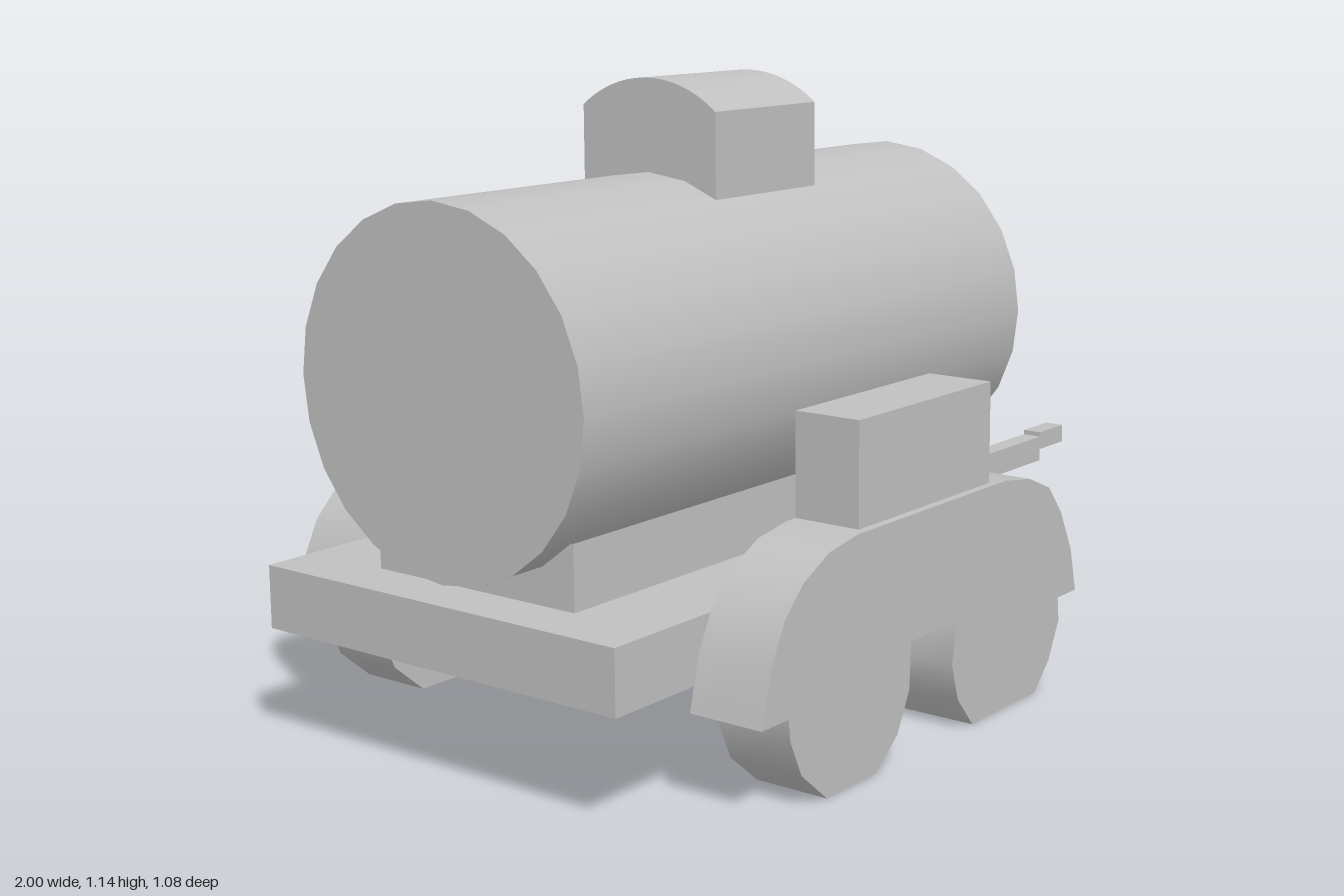
import * as THREE from 'three';
import { toCreasedNormals } from 'three/addons/utils/BufferGeometryUtils.js';

export function createModel() {
  const model = new THREE.Group();
  model.name = 'tankTrailer';
  const grey = new THREE.MeshStandardMaterial({ color: 0xc0c0c0, side: THREE.DoubleSide });
  grey.name = 'plain grey';

  const add = (name, geometry) => {
    const mesh = new THREE.Mesh(geometry, grey);
    mesh.name = name;
    model.add(mesh);
    return mesh;
  };
  // Box from its minimum and maximum corners
  const box = (name, x0, x1, y0, y1, z0, z1) => {
    const g = new THREE.BoxGeometry(x1 - x0, y1 - y0, z1 - z0);
    return add(name, g.translate((x0 + x1) / 2, (y0 + y1) / 2, (z0 + z1) / 2));
  };
  // Four upright walls with neither lid nor floor
  const walls = (name, ...extent) => {
    const g = box(name, ...extent).geometry;
    const index = Array.from(g.index.array);
    g.setIndex([...index.slice(0, 12), ...index.slice(24)]);
    g.clearGroups();
  };
  const toShape = (points) => new THREE.Shape(points.map(([x, y]) => new THREE.Vector2(x, y)));

  // Pressed chassis, open underneath, with a raised cradle for the tank
  walls('chassisWalls', -1, 0.25, 0.207, 0.32, -0.393, 0.393);
  walls('tankCradle', -0.9, 0.25, 0.32, 0.435, -0.222, 0.222);
  const deck = toShape([
    [-1, -0.393], [0.25, -0.393], [0.25, -0.222], [-0.9, -0.222],
    [-0.9, 0.222], [0.25, 0.222], [0.25, 0.393], [-1, 0.393],
  ]);
  add('chassisDeck', new THREE.ShapeGeometry(deck).rotateX(-Math.PI / 2).translate(0, 0.32, 0));

  // Tank
  const tank = new THREE.CylinderGeometry(0.316, 0.316, 1.28, 24);
  add('tank', tank.rotateZ(Math.PI / 2).translate(-0.33, 0.66, -0.004));

  // Domed hatch straddling the top of the tank
  const half = 0.151, radius = 0.2415;
  const angle = Math.asin(half / radius);
  const hatchShape = new THREE.Shape();
  hatchShape.moveTo(-half, 0.925);
  hatchShape.lineTo(half, 0.925);
  hatchShape.lineTo(half, 1.09);
  hatchShape.absarc(0, 1.142 - radius, radius, Math.PI / 2 - angle, Math.PI / 2 + angle, false);
  hatchShape.closePath();
  const hatch = new THREE.ExtrudeGeometry(hatchShape, { depth: 0.29, bevelEnabled: false, curveSegments: 10 });
  hatch.rotateY(Math.PI / 2).translate(-0.435, 0, -0.004);
  add('hatch', toCreasedNormals(hatch, 0.4));

  // Tandem wheels and mudguard as one outline on each side
  const wheelShape = toShape([
    [-0.82, 0.165], [-0.75, 0.165], [-0.745, 0.125], [-0.715, 0.06], [-0.645, 0],
    [-0.505, 0], [-0.44, 0.05], [-0.405, 0.12], [-0.4, 0.205],
    [-0.255, 0.205], [-0.27, 0.13], [-0.25, 0.06], [-0.2, 0],
    [0.015, 0], [0.065, 0.05], [0.1, 0.12], [0.095, 0.165],
    [0.16, 0.165], [0.14, 0.25], [0.1, 0.33], [0.055, 0.385], [-0.015, 0.415], [-0.1, 0.428],
    [-0.56, 0.428], [-0.64, 0.415], [-0.71, 0.38], [-0.76, 0.33], [-0.795, 0.26],
  ]);
  for (const side of [1, -1]) {
    const name = side > 0 ? 'front' : 'back';
    const g = new THREE.ExtrudeGeometry(wheelShape, { depth: 0.145, bevelEnabled: false });
    g.translate(0, 0, side > 0 ? 0.393 : -0.538);
    add(name + 'WheelsAndMudguard', toCreasedNormals(g, 0.6));
    // Locker on top of the mudguard
    if (side > 0) box(name + 'Locker', -0.535, -0.13, 0.42, 0.612, 0.393, 0.522);
    else box(name + 'Locker', -0.535, -0.13, 0.42, 0.612, -0.508, -0.393);
  }

  // Drawbar and coupling
  box('drawbar', 0.25, 0.9, 0.207, 0.262, -0.02, 0.022);
  box('coupling', 0.9, 1, 0.233, 0.272, -0.02, 0.022);

  // Jockey wheel on its post
  box('jockeyPost', 0.678, 0.7, 0.04, 0.332, -0.042, -0.02);
  box('jockeyAxle', 0.66, 0.7, 0.04, 0.075, -0.08, -0.04);
  const jockey = new THREE.CylinderGeometry(0.05, 0.05, 0.035, 12);
  add('jockeyWheel', jockey.rotateX(Math.PI / 2).translate(0.625, 0.05, -0.062));

  return model;
}
